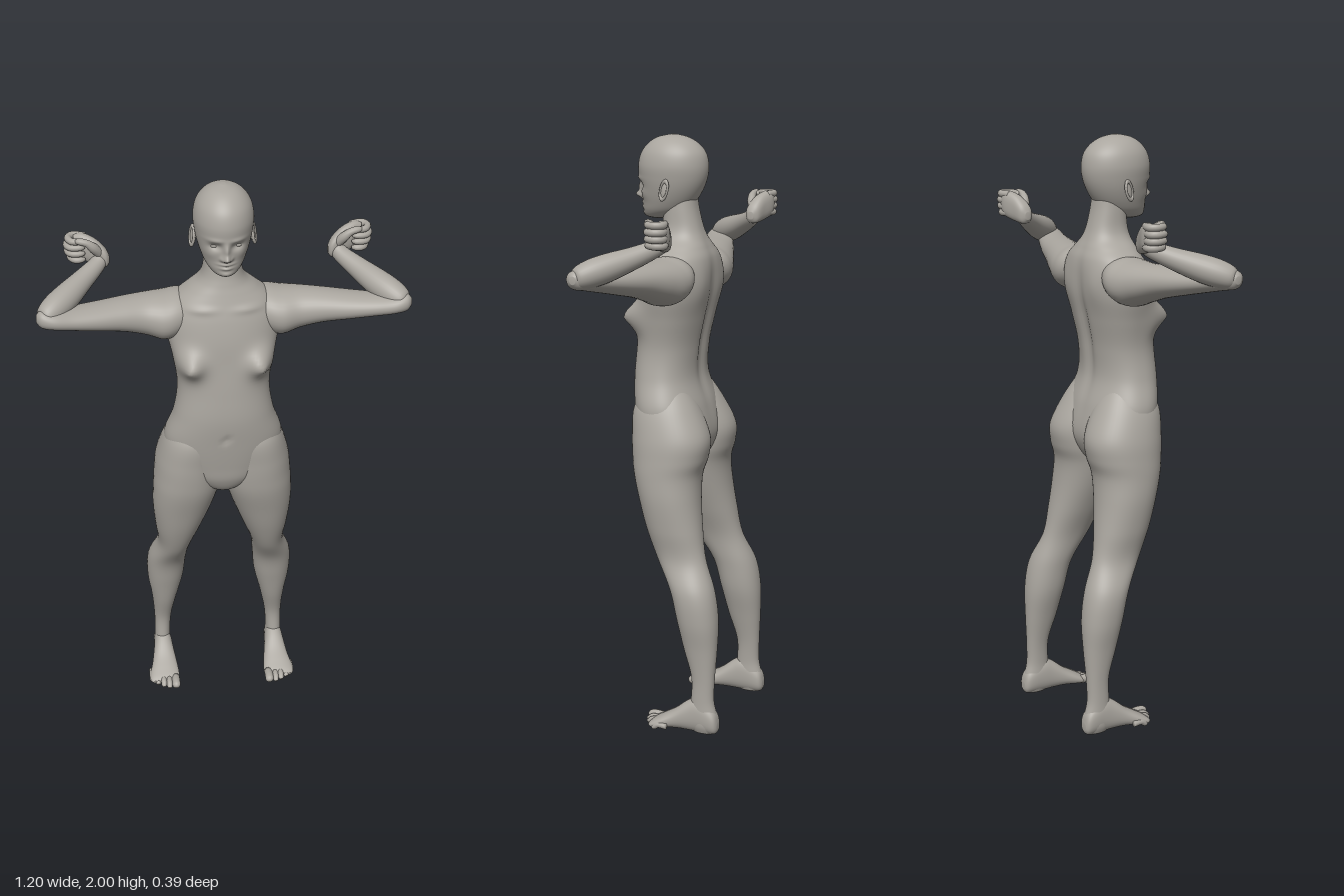
import * as THREE from 'three';

const skin = new THREE.MeshStandardMaterial({ color: 0xaaa69f });
skin.name = 'warm grey';

// Catmull-Rom interpolation of every column in a table of rows, t from 0 to 1
function spline(rows, t) {
  const n = rows.length - 1, s = Math.min(t * n, n - 1e-6), i = Math.floor(s), f = s - i;
  const [a, b, c, d] = [-1, 0, 1, 2].map(k => rows[Math.min(n, Math.max(0, i + k))]);
  return b.map((_, k) => b[k] + 0.5 * f * (c[k] - a[k] + f * (2 * a[k] - 5 * b[k] + 4 * c[k] - d[k]
    + f * (3 * (b[k] - c[k]) + d[k] - a[k]))));
}

// Closed smooth skin over rings; ring(t, angle) gives a point, angle null gives the ring centre
function skinOver(ring, steps, sides) {
  const pos = [], idx = [];
  for (let i = -1; i <= steps + 1; i++) {
    const t = Math.min(1, Math.max(0, i / steps)), cap = i < 0 || i > steps;
    for (let j = 0; j < sides; j++) pos.push(...ring(t, cap ? null : j / sides * Math.PI * 2));
  }
  for (let i = 0; i < steps + 2; i++) for (let j = 0; j < sides; j++) {
    const a = i * sides + j, b = i * sides + (j + 1) % sides;
    if (i > 0) idx.push(a, a + sides, b);
    if (i <= steps) idx.push(b, a + sides, b + sides);
    if (i === 0) idx.push(a, a + sides, b);
  }
  const g = new THREE.BufferGeometry();
  g.setAttribute('position', new THREE.Float32BufferAttribute(pos, 3));
  g.setIndex(idx);
  g.computeVertexNormals();
  return g;
}

// Loft along an axis. Rows: [axis position, u min, u max, v min, v max]
const place = {
  y: (t, u, v) => [u, t, v],
  x: (t, u, v) => [t, v, u],
  z: (t, u, v) => [v, u, t],
};
function loft(axis, rows, { power = 2, steps = 60, sides = 48, rule } = {}) {
  const round = c => Math.sign(c) * Math.abs(c) ** (2 / power);
  return skinOver((t, a) => {
    const [s, u0, u1, v0, v1] = spline(rows, t);
    const cu = a === null ? 0 : round(Math.cos(a)), cv = a === null ? 0 : round(Math.sin(a));
    const p = place[axis](s, (u0 + u1) / 2 + cu * (u1 - u0) / 2, (v0 + v1) / 2 + cv * (v1 - v0) / 2);
    if (rule) rule(p);
    return p;
  }, steps, sides);
}

// Tapering limb through points [x, y, z, radius]
function limb(points, steps = 20, sides = 16) {
  const up = new THREE.Vector3(0, 1, 0);
  return skinOver((t, a) => {
    const c = spline(points, t), p = spline(points, Math.max(0, t - 0.01)), q = spline(points, Math.min(1, t + 0.01));
    if (a === null) return c.slice(0, 3);
    const T = new THREE.Vector3(q[0] - p[0], q[1] - p[1], q[2] - p[2]).normalize();
    const N = up.clone().cross(T).normalize(), B = T.clone().cross(N), r = Math.max(0.001, c[3]);
    const v = N.multiplyScalar(r * Math.cos(a)).addScaledVector(B, -r * Math.sin(a));
    return [c[0] + v.x, c[1] + v.y, c[2] + v.z];
  }, steps, sides);
}

// Soft mirrored swellings: [x, y, depth, width, height, side (1 front, -1 back)]
const swell = list => p => {
  let dz = 0;
  for (const [x, y, depth, w, h, side = 1] of list) {
    const k = THREE.MathUtils.smoothstep(side * (p[2] - 0.04), 0, 0.05);
    dz += k * depth * Math.exp(-(((Math.abs(p[0]) - x) / w) ** 2) - ((p[1] - y) / h) ** 2);
  }
  p[2] += dz;
};

function add(parent, name, geometry) {
  const m = new THREE.Mesh(geometry, skin);
  m.name = name;
  parent.add(m);
  return m;
}

function ball(parent, name, [x, y, z], [a, b, c]) {
  const m = add(parent, name, new THREE.SphereGeometry(1, 24, 16));
  m.position.set(x, y, z);
  m.scale.set(a, b, c);
  return m;
}

function buildSide(name) {
  const side = new THREE.Group();
  side.name = name;

  // Leg, with the buttock at its top
  add(side, 'leg', loft('y', [
    [0.004, 0.188, 0.228, -0.185, -0.11], [0.03, 0.18, 0.237, -0.198, -0.095], [0.07, 0.177, 0.237, -0.192, -0.092],
    [0.12, 0.179, 0.235, -0.181, -0.1], [0.2, 0.173, 0.235, -0.182, -0.1], [0.3, 0.153, 0.243, -0.187, -0.07],
    [0.4, 0.13, 0.257, -0.187, -0.045], [0.5, 0.12, 0.255, -0.17, -0.018], [0.6, 0.107, 0.222, -0.13, 0.042],
    [0.7, 0.072, 0.231, -0.11, 0.084], [0.8, 0.036, 0.239, -0.096, 0.114], [0.88, 0.012, 0.237, -0.094, 0.136],
    [0.94, 0.002, 0.233, -0.112, 0.145], [1.01, 0.001, 0.224, -0.117, 0.15], [1.1, 0.003, 0.196, -0.075, 0.15],
    [1.17, 0.03, 0.155, -0.03, 0.11]], { power: 2.15, steps: 90 }));

  // Foot and toes
  add(side, 'foot', loft('z', [
    [-0.199, 0.018, 0.045, 0.195, 0.222], [-0.185, 0.003, 0.085, 0.18, 0.237], [-0.13, 0.002, 0.125, 0.174, 0.239],
    [-0.09, 0.004, 0.112, 0.17, 0.243], [-0.04, 0.006, 0.074, 0.162, 0.252], [0, 0.003, 0.05, 0.157, 0.262],
    [0.028, 0.003, 0.034, 0.158, 0.264], [0.042, 0.01, 0.024, 0.17, 0.255]], { power: 2.3, steps: 40, sides: 32 }));
  for (let i = 0; i < 5; i++) {
    const x = 0.172 + i * 0.02 + (i ? 0.004 : 0), tip = 0.076 - 0.0025 * i * i - 0.002 * i, r = i ? 0.0105 : 0.015;
    add(side, 'toe', limb([[x, 0.02, tip - 0.055, r], [x, 0.022, tip - 0.025, r], [x, r + 0.003, tip - 0.01, r],
      [x, r + 0.001, tip - 0.002, r * 0.65], [x, r, tip, 0.002]], 14, 12));
  }

  // Shoulder and upper arm
  add(side, 'upperArm', loft('x', [
    [0.08, -0.05, 0.07, 1.52, 1.6], [0.14, -0.08, 0.105, 1.475, 1.616], [0.19, -0.078, 0.116, 1.46, 1.613],
    [0.25, -0.057, 0.105, 1.48, 1.611], [0.32, -0.028, 0.116, 1.505, 1.611], [0.4, 0.004, 0.135, 1.525, 1.61],
    [0.48, 0.04, 0.152, 1.544, 1.612], [0.54, 0.07, 0.165, 1.558, 1.62], [0.58, 0.095, 0.158, 1.567, 1.626],
    [0.598, 0.118, 0.138, 1.585, 1.61]], { power: 2.1, steps: 60, sides: 36 }));

  // Forearm
  add(side, 'forearm', limb([[0.585, 1.597, 0.138, 0.014], [0.57, 1.6, 0.126, 0.034], [0.54, 1.613, 0.095, 0.044],
    [0.5, 1.63, 0.052, 0.044], [0.445, 1.656, -0.01, 0.035], [0.4, 1.68, -0.058, 0.028],
    [0.385, 1.695, -0.078, 0.025], [0.38, 1.7, -0.085, 0.012]], 36, 28));

  // Half-closed fist, fingers stacked and curling forward
  add(side, 'palm', loft('x', [
    [0.355, -0.085, -0.065, 1.683, 1.708], [0.368, -0.102, -0.054, 1.668, 1.733], [0.4, -0.114, -0.064, 1.672, 1.762],
    [0.44, -0.127, -0.08, 1.684, 1.776], [0.468, -0.122, -0.094, 1.695, 1.77]], { power: 2.5, steps: 24, sides: 28 }));
  for (let i = 0; i < 4; i++) {
    const y = 1.7 + i * 0.0215, out = [0, 0.008, 0.01, 0.005][i];
    add(side, 'finger', limb([[0.43, y, -0.108, 0.011], [0.462 + out, y, -0.118, 0.0125], [0.48 + out, y, -0.098, 0.012],
      [0.47 + out, y, -0.07, 0.011], [0.45, y, -0.064, 0.01], [0.436, y, -0.07, 0.007], [0.432, y, -0.072, 0.001]], 28, 12));
  }
  add(side, 'thumb', limb([[0.385, 1.715, -0.075, 0.016], [0.405, 1.743, -0.06, 0.016], [0.425, 1.762, -0.055, 0.012],
    [0.448, 1.768, -0.058, 0.011], [0.46, 1.768, -0.062, 0.007], [0.463, 1.768, -0.063, 0.001]], 20, 12));

  // Ear: shell and rim
  const ear = new THREE.Group();
  ear.name = 'ear';
  ear.position.set(0.098, 1.825, 0.048);
  ear.rotation.set(-0.15, -0.35, 0.1);
  ball(ear, 'earShell', [-0.004, 0, 0], [0.007, 0.031, 0.016]);
  const rim = add(ear, 'earRim', new THREE.TorusGeometry(0.02, 0.005, 10, 28));
  rim.rotation.y = Math.PI / 2;
  rim.scale.set(0.75, 1.5, 1);
  side.add(ear);

  // Eye
  ball(side, 'eye', [0.036, 1.833, 0.139], [0.0145, 0.009, 0.012]);
  return side;
}

export function createModel() {
  const model = new THREE.Group();
  model.name = 'standingFigure';

  // Torso and neck. Profile: [y, half width, back, front]
  const full = ([y, w, back, front]) => [y, -w, w, back, front];
  add(model, 'torso', loft('y', [
    [0.878, 0.015, 0.0, 0.06], [0.9, 0.06, -0.04, 0.112], [0.95, 0.135, -0.075, 0.142], [1.01, 0.182, -0.09, 0.153],
    [1.1, 0.197, -0.074, 0.165], [1.2, 0.166, -0.046, 0.174], [1.3, 0.152, -0.052, 0.168], [1.4, 0.166, -0.072, 0.158],
    [1.48, 0.182, -0.088, 0.15], [1.55, 0.18, -0.091, 0.136], [1.6, 0.155, -0.086, 0.12], [1.635, 0.115, -0.072, 0.108],
    [1.665, 0.08, -0.058, 0.098], [1.7, 0.064, -0.045, 0.09], [1.76, 0.058, -0.03, 0.085], [1.82, 0.053, -0.022, 0.08],
  ].map(full), {
    power: 2.25, steps: 120, sides: 96,
    rule: swell([
      [0.118, 1.405, 0.054, 0.045, 0.045], [0.122, 1.397, 0.006, 0.01, 0.01], // breasts
      [0, 1.13, -0.008, 0.011, 0.013], [0.08, 1.59, 0.006, 0.05, 0.012], // navel, collar bones
      [0, 1.36, 0.014, 0.024, 0.2, -1], [0.09, 1.52, -0.007, 0.04, 0.06, -1], // spine, shoulder blades
    ]),
  }));

  // Head with modelled face
  add(model, 'head', loft('y', [
    [1.722, 0.012, 0.09, 0.135], [1.73, 0.036, 0.06, 0.154], [1.75, 0.057, 0.01, 0.161], [1.78, 0.072, -0.02, 0.162],
    [1.82, 0.085, -0.045, 0.167], [1.86, 0.093, -0.06, 0.175], [1.9, 0.096, -0.064, 0.177], [1.94, 0.088, -0.055, 0.166],
    [1.97, 0.069, -0.03, 0.142], [1.99, 0.042, 0.005, 0.11], [2.0, 0.008, 0.045, 0.065],
  ].map(full), {
    steps: 120, sides: 128,
    rule: swell([
      [0, 1.797, 0.026, 0.012, 0.012], [0, 1.822, 0.016, 0.01, 0.022], [0.014, 1.793, 0.008, 0.007, 0.007], // nose
      [0.034, 1.834, -0.013, 0.018, 0.012], [0.036, 1.857, 0.004, 0.025, 0.008], // eye sockets, brows
      [0, 1.774, 0.008, 0.022, 0.005], [0, 1.76, 0.008, 0.019, 0.006], // lips
      [0, 1.738, 0.006, 0.02, 0.01], [0.052, 1.805, 0.004, 0.02, 0.018], // chin, cheeks
    ]),
  }));

  // Limbs, ears and eyes, mirrored
  const left = buildSide('leftSide'), right = buildSide('rightSide');
  right.scale.x = -1;
  model.add(left, right);
  return model;
}
